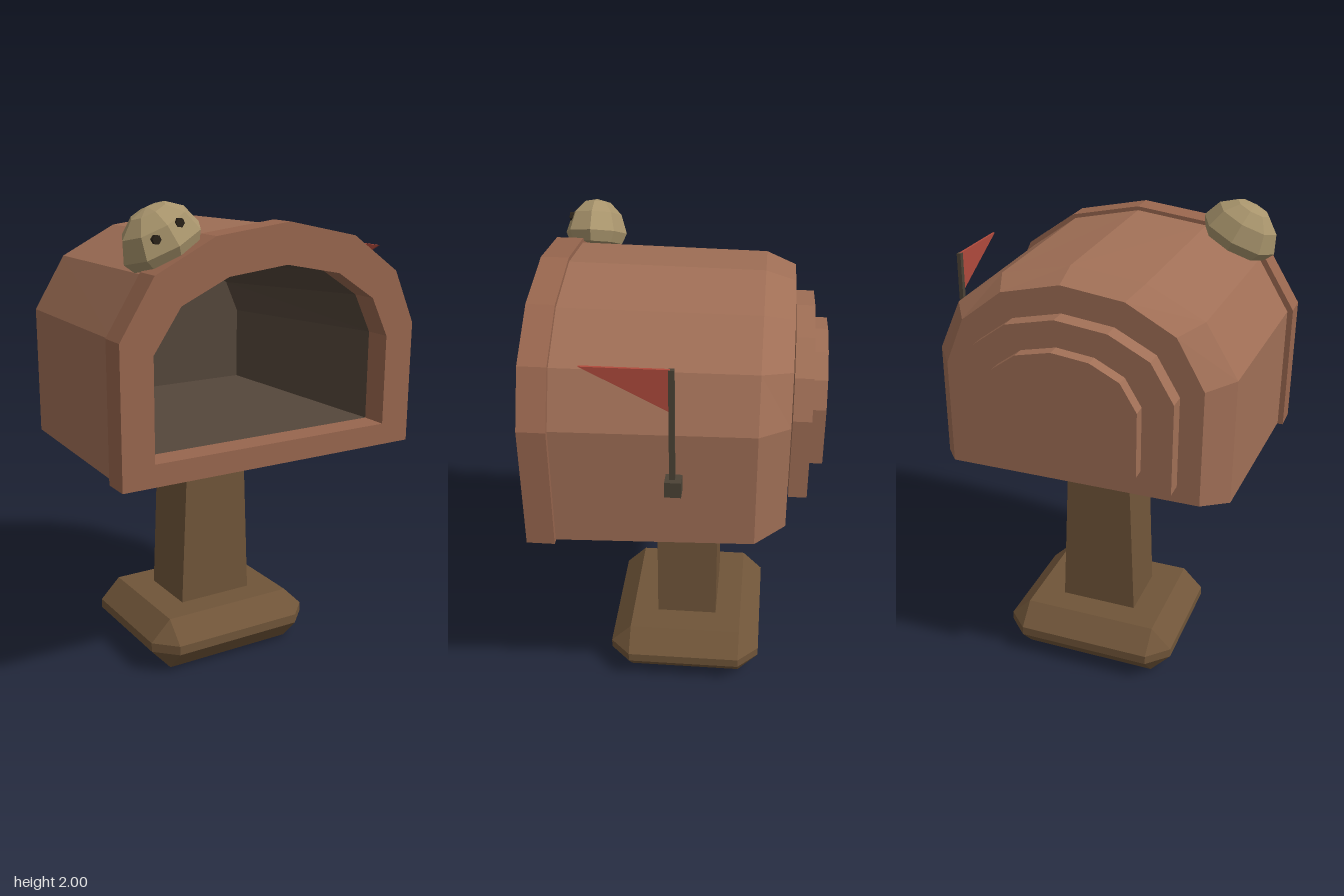
import * as THREE from 'three';
import { ConvexGeometry } from 'three/addons/geometries/ConvexGeometry.js';

const mat = (color, side = THREE.FrontSide) => new THREE.MeshStandardMaterial({ color, side, flatShading: true });
const clay = mat(0xa06f56), rimClay = mat(0x98664e), wood = mat(0x705539), inside = mat(0x54463a);
const dark = mat(0x4c4336), red = mat(0xb04a3c, THREE.DoubleSide), shell = mat(0xa8946c), black = mat(0x2a2218);

// Slightly lopsided arch in unit coordinates, counter-clockwise seen from the front
const ARCH = [[0, 0], [1, 0], [1, 0.537], [0.925, 0.77], [0.765, 0.93], [0.535, 1],
  [0.295, 0.96], [0.107, 0.828], [0, 0.587]];
const arch = (x0, x1, y0, y1) => ARCH.map(([u, v]) => new THREE.Vector2(x0 + u * (x1 - x0), y0 + v * (y1 - y0)));

function named(name, geometry, material) {
  const mesh = new THREE.Mesh(geometry, material);
  mesh.name = name;
  return mesh;
}

// Skin through rings of equal point count, with optional flat end caps
function loft(sections, capStart, capEnd) {
  const rings = sections.map(([z, ...b]) => arch(...b).map(p => [p.x, p.y, z]));
  const pos = [], n = ARCH.length;
  const tri = (a, b, c) => pos.push(...a, ...b, ...c);
  for (let r = 0; r < rings.length - 1; r++) {
    for (let i = 0; i < n; i++) {
      const j = (i + 1) % n, a = rings[r], b = rings[r + 1];
      tri(a[i], a[j], b[j]);
      tri(a[i], b[j], b[i]);
    }
  }
  const first = rings[0], last = rings[rings.length - 1];
  for (let i = 1; i < n - 1; i++) {
    if (capStart) tri(first[0], first[i + 1], first[i]);
    if (capEnd) tri(last[0], last[i], last[i + 1]);
  }
  const g = new THREE.BufferGeometry();
  g.setAttribute('position', new THREE.Float32BufferAttribute(pos, 3));
  g.computeVertexNormals();
  return g;
}

// Extruded arch plate between two depths, with an optional arched hole
function plate(bounds, z0, z1, hole) {
  const shape = new THREE.Shape(arch(...bounds));
  if (hole) shape.holes.push(new THREE.Path(arch(...hole).reverse()));
  return new THREE.ExtrudeGeometry(shape, { depth: z1 - z0, bevelEnabled: false }).translate(0, 0, z0);
}

// Block with all edges cut: full footprint between yLow and yHigh, shrunk by c elsewhere
function cutBlock(x0, x1, z0, z1, ys, c) {
  const [y0, yLow, yHigh, y1] = ys, pts = [];
  for (const [x, sx] of [[x0, 1], [x1, -1]]) for (const [z, sz] of [[z0, 1], [z1, -1]]) {
    for (const y of [y0, y1]) pts.push(new THREE.Vector3(x + sx * c, y, z + sz * c));
    for (const y of [yLow, yHigh]) {
      pts.push(new THREE.Vector3(x + sx * c, y, z), new THREE.Vector3(x, y, z + sz * c));
    }
  }
  return new ConvexGeometry(pts);
}

export function createModel() {
  const model = new THREE.Group();
  model.name = 'mailbox';

  // Stand
  model.add(named('base', cutBlock(-0.415, 0.36, -0.355, 0.325, [0, 0.1, 0.14, 0.23], 0.09), wood));
  const postPts = [];
  for (const [y, x0, x1] of [[0.22, -0.2, 0.143], [0.9, -0.17, 0.115]])
    for (const x of [x0, x1]) for (const z of [-0.15, 0.12]) postPts.push(new THREE.Vector3(x, y, z));
  model.add(named('post', new ConvexGeometry(postPts), wood));
  model.add(named('cradle', cutBlock(-0.43, 0.38, -0.157, 0.13, [0.865, 0.905, 0.975, 1.0], 0.04), wood));

  // Tapered body, front rim and recessed interior
  model.add(named('body', loft([
    [-0.437, -0.56, 0.51, 1.02, 1.852],
    [-0.317, -0.655, 0.6, 0.99, 1.892],
    [0.466, -0.676, 0.622, 0.98, 1.903],
  ], true, false), clay));
  const opening = [-0.565, 0.51, 1.065, 1.76];
  model.add(named('frontRim', plate([-0.7, 0.645, 0.975, 1.92], 0.465, 0.577, opening), rimClay));
  model.add(named('interior', loft([[0.466, ...opening], [-0.36, -0.435, 0.38, 1.1, 1.695]], false, true), inside));

  // Stepped back panels
  model.add(named('outerBackPanel', plate([-0.468, 0.415, 1.095, 1.745], -0.518, -0.444), clay));
  model.add(named('innerBackPanel', plate([-0.345, 0.29, 1.18, 1.64], -0.577, -0.522), clay));

  // Signal flag
  const flag = new THREE.Group();
  flag.name = 'flag';
  flag.add(named('flagMount', new THREE.BoxGeometry(0.06, 0.065, 0.063).translate(0.662, 1.288, -0.008), dark));
  flag.add(named('flagPole', new THREE.BoxGeometry(0.018, 0.47, 0.022).translate(0.661, 1.54, -0.004), dark));
  const pennant = new THREE.Shape([[0, 1.775], [-0.325, 1.775], [0, 1.605]].map(p => new THREE.Vector2(...p)));
  flag.add(named('pennant', new THREE.ExtrudeGeometry(pennant, { depth: 0.01, bevelEnabled: false })
    .rotateY(Math.PI / 2).translate(0.656, 0, 0), red));
  model.add(flag);

  // Faceted dome creature sitting on the sloping shoulder
  const critter = new THREE.Group();
  critter.name = 'roofCritter';
  const profile = [[0, 0], [0.145, 0], [0.171, 0.045], [0.138, 0.125], [0.075, 0.175], [0, 0.19]];
  const dome = new THREE.LatheGeometry(profile.map(p => new THREE.Vector2(...p)), 8).scale(1, 1, 0.78);
  critter.add(named('critterBody', dome, shell));
  for (const [x, y] of [[-0.059, 0.099], [0.05, 0.109]]) {
    const eye = named('critterEye', new THREE.CylinderGeometry(0.018, 0.018, 0.02, 6).rotateX(Math.PI / 2), black);
    eye.position.set(x, y, 0.098);
    critter.add(eye);
  }
  critter.position.set(-0.43, 1.812, 0.432);
  critter.rotation.z = THREE.MathUtils.degToRad(25);
  model.add(critter);

  return model;
}
